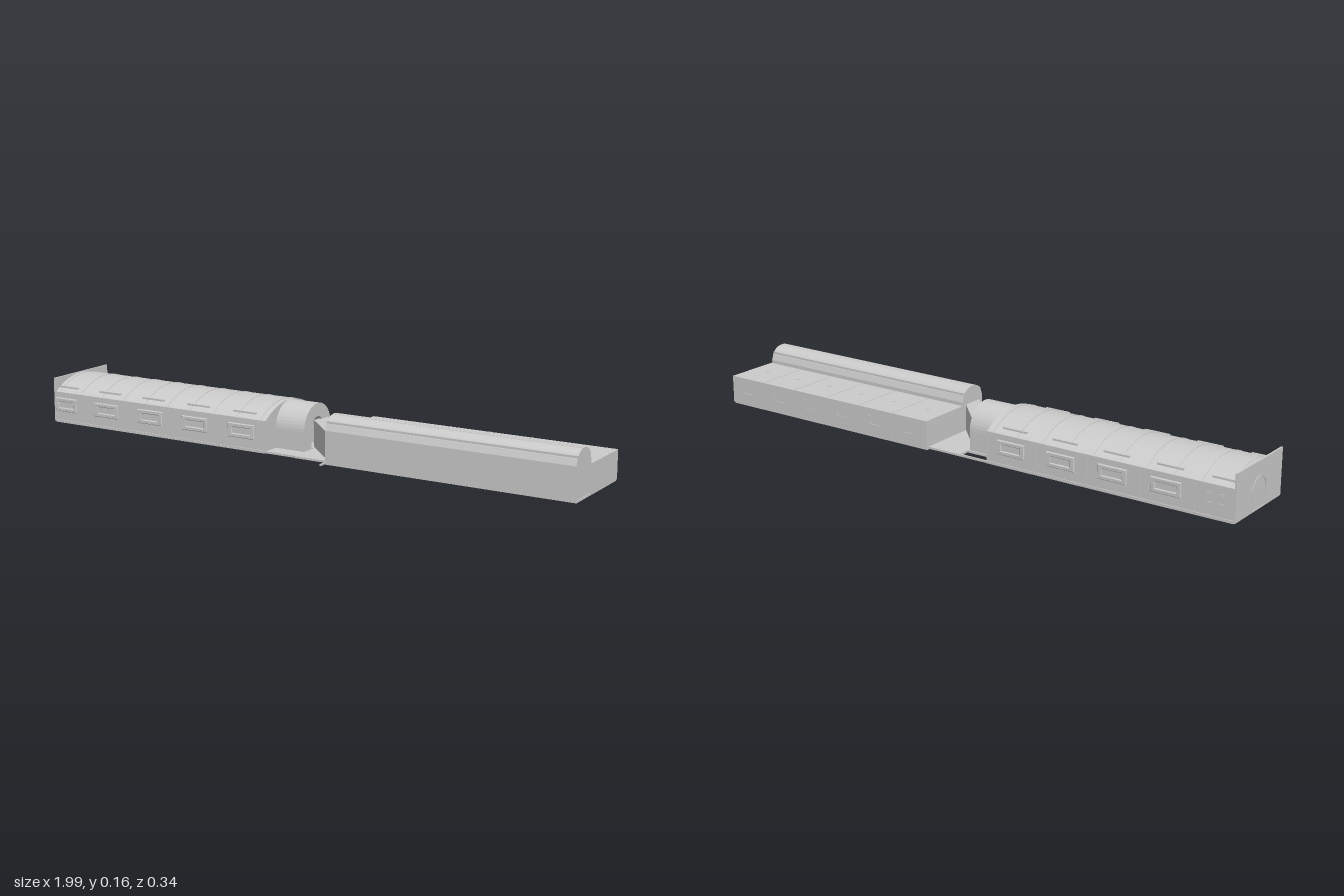
import * as THREE from 'three';

const material = new THREE.MeshStandardMaterial({ color: 0xcccccc, side: THREE.DoubleSide });

function add(parent, geometry, name) {
  const mesh = new THREE.Mesh(geometry, material);
  mesh.name = name;
  parent.add(mesh);
  return mesh;
}

// Box given by its limits on each axis
function box(parent, name, x0, x1, y0, y1, z0, z1) {
  const g = new THREE.BoxGeometry(x1 - x0, y1 - y0, z1 - z0);
  g.translate((x0 + x1) / 2, (y0 + y1) / 2, (z0 + z1) / 2);
  return add(parent, g, name);
}

// Cross-section of (z, y) points swept along x
function sweepX(parent, name, points, x0, x1, holePoints) {
  const toVec = ([z, y]) => new THREE.Vector2(-z, y);
  const shape = new THREE.Shape(points.map(toVec));
  if (holePoints) shape.holes.push(new THREE.Path(holePoints.map(toVec)));
  const g = new THREE.ExtrudeGeometry(shape, { depth: x1 - x0, bevelEnabled: false });
  g.rotateY(Math.PI / 2);
  g.translate(x0, 0, 0);
  return add(parent, g, name);
}

// Points on an arc in the (z, y) plane, from +z over the top to -z
function arc(cz, cy, rz, ry, a0, a1, n) {
  return Array.from({ length: n + 1 }, (_, i) => {
    const a = a0 + ((a1 - a0) * i) / n;
    return [cz + rz * Math.cos(a), cy + ry * Math.sin(a)];
  });
}

// Rectangular window frame with a recessed pane, on a wall facing side (+1 front, -1 back)
function windowUnit(parent, x, z, side, w = 0.1) {
  const unit = new THREE.Group();
  unit.name = 'window';
  const rect = (T, a, b) => {
    const t = new T();
    t.moveTo(-a, -b); t.lineTo(a, -b); t.lineTo(a, b); t.lineTo(-a, b); t.closePath();
    return t;
  };
  const s = rect(THREE.Shape, w / 2, 0.022);
  s.holes.push(rect(THREE.Path, w / 2 - 0.012, 0.013));
  add(unit, new THREE.ExtrudeGeometry(s, {
    depth: 0.005, bevelEnabled: true, bevelSize: 0.002, bevelThickness: 0.002, bevelSegments: 1,
  }), 'windowFrame');
  box(unit, 'windowPane', -w / 2 + 0.01, w / 2 - 0.01, -0.015, 0.015, -0.002, 0.001);
  unit.position.set(x, 0.068, z);
  if (side < 0) unit.rotation.y = Math.PI;
  parent.add(unit);
}

function vaultedHall() {
  const hall = new THREE.Group();
  hall.name = 'vaultedHall';
  const cz = -0.015, R = 0.235, cy = 0.158 - R;
  const half = Math.asin(0.142 / R);
  const up = Math.PI / 2;
  const vault = (r) => arc(cz, cy, r, r, up - half, up + half, 24);

  // Body with barrel roof
  sweepX(hall, 'hallBody', [[-0.157, 0.005], [0.127, 0.005], ...vault(R)], -0.995, -0.11);
  // Roof seams
  for (let i = 0; i < 10; i++) {
    const x = -0.98 + i * 0.094;
    sweepX(hall, 'roofSeam', [...vault(R + 0.0015), ...vault(R - 0.002).reverse()], x, x + 0.003);
  }
  // Flat end wall with an arched door
  box(hall, 'endWall', -1, -0.994, 0.005, 0.16, -0.16, 0.13);
  const door = (r, h) => [[cz + r, 0.008], ...arc(cz, h, r, r, 0, Math.PI, 12), [cz - r, 0.008]];
  sweepX(hall, 'doorFrame', door(0.048, 0.065), -1.002, -0.998, door(0.042, 0.065).map(([z, y]) => [z, y + 0.002]));

  // Wall panels, windows, ribs and eaves on both long sides
  for (const side of [1, -1]) {
    const wall = cz + side * 0.142;
    const strip = (name, x0, x1, y0, y1, a, b) =>
      box(hall, name, x0, x1, y0, y1, Math.min(wall + side * a, wall + side * b), Math.max(wall + side * a, wall + side * b));
    strip('baseRail', -0.995, -0.11, 0.003, 0.012, -0.005, 0.003);
    strip('eave', -0.995, -0.11, 0.104, 0.112, -0.006, 0.003);
    for (let i = 0; i < 5; i++) {
      const edge = -0.11 - i * 0.1875;
      strip('panelRib', edge - 0.004, edge, 0.005, 0.108, -0.005, 0.003);
      if (i < 4) windowUnit(hall, edge - 0.094, wall, side);
      // Gutter sections above each panel
      strip('gutter', Math.max(edge - 0.14, -0.99), edge - 0.05, 0.124, 0.13, -0.025, -0.017);
    }
    if (side > 0) windowUnit(hall, -0.945, wall, side, 0.09);
    else for (const dx of [-0.02, 0.02]) for (const y of [0.05, 0.08])
      box(hall, 'wallVent', -0.93 + dx - 0.008, -0.93 + dx + 0.008, y - 0.005, y + 0.005, wall - 0.003, wall + 0.001);
  }
  return hall;
}

function connector() {
  const link = new THREE.Group();
  link.name = 'connector';
  const cz = -0.017;
  // Arched tunnel
  const arch = (r, cy, y0) => [[cz + r, y0], ...arc(cz, cy, r, r, 0, Math.PI, 24), [cz - r, y0]];
  sweepX(link, 'archedTunnel', arch(0.083, 0.075, 0.005), -0.112, 0, arch(0.038, 0.075, 0.012));
  // Diagonal passage, drawn as a plan and raised
  const plan = new THREE.Shape([[-0.01, 0.09], [-0.01, 0.012], [0.127, -0.125], [0.127, -0.05]]
    .map(([x, y]) => new THREE.Vector2(x, y)));
  const passage = (name, y, h) => {
    const g = new THREE.ExtrudeGeometry(plan, { depth: h, bevelEnabled: false });
    g.rotateX(-Math.PI / 2);
    g.translate(0, y, 0);
    add(link, g, name);
  };
  passage('diagonalPassage', 0.008, 0.092);
  // Floor plates and rails
  box(link, 'connectorFloor', 0, 0.126, 0.003, 0.01, -0.158, 0.128);
  box(link, 'frontFloor', -0.112, 0, 0.003, 0.01, 0.066, 0.125);
  box(link, 'tunnelFloor', -0.112, 0, 0.003, 0.01, -0.1, 0.066);
  box(link, 'rearRail', -0.112, 0, 0.003, 0.01, -0.158, -0.152);
  box(link, 'rearRail', -0.112, 0, 0.003, 0.01, -0.112, -0.106);
  box(link, 'groundBar', 0.123, 0.129, 0.003, 0.008, 0.1, 0.17);
  return link;
}

function lowWing() {
  const wing = new THREE.Group();
  wing.name = 'lowWing';
  const x0 = 0.126, x1 = 0.99, n = 6, pitch = (x1 - x0) / n;
  box(wing, 'wingBody', x0, x1, 0.005, 0.1, -0.168, 0.035);
  box(wing, 'wingBase', x0, x1 - 0.002, 0, 0.007, -0.165, 0.138);
  for (let i = 0; i < n; i++) {
    const x = x0 + i * pitch;
    // Panel joints on the roof and back wall
    if (i) {
      box(wing, 'roofJoint', x - 0.001, x + 0.001, 0.099, 0.1012, -0.168, 0.035);
      box(wing, 'backJoint', x - 0.001, x + 0.001, 0.006, 0.1, -0.1692, -0.167);
    }
    // L-shaped brackets and roof studs
    const m = x + pitch / 2;
    box(wing, 'bracketUpright', m + 0.02, m + 0.024, 0.045, 0.075, -0.1705, -0.167);
    box(wing, 'bracketFoot', m - 0.022, m + 0.024, 0.042, 0.046, -0.1705, -0.167);
    box(wing, 'roofStud', m - 0.004, m + 0.004, 0.099, 0.102, -0.07, -0.062);
  }
  return wing;
}

function corridor() {
  const hallway = new THREE.Group();
  hallway.name = 'corridor';
  const x0 = 0.126, x1 = 0.985, cz = 0.085;
  // Walls with tapered shoulders
  sweepX(hallway, 'corridorBody', [
    [0.03, 0.005], [0.141, 0.005], [0.141, 0.112], [0.133, 0.133], [0.128, 0.136],
    [0.042, 0.136], [0.037, 0.133], [0.03, 0.112],
  ], x0, x1);
  // Domed roof strip and its ridge
  sweepX(hallway, 'corridorRoof', arc(cz, 0.13, 0.046, 0.028, 0, Math.PI, 20), x0, x1);
  box(hallway, 'roofRidge', x0, x1, 0.15, 0.158, cz - 0.003, cz + 0.009);
  for (const s of [-1, 1]) {
    const z = cz + s * 0.044;
    box(hallway, 'roofRail', x0, x1, 0.134, 0.141, z - 0.003, z + 0.003);
  }
  // Corner trims on the end wall
  for (const z of [0.032, 0.13])
    box(hallway, 'endTrim', x1 - 0.002, x1 + 0.003, 0.008, 0.1, z, z + 0.006);
  return hallway;
}

export function createModel() {
  const model = new THREE.Group();
  model.name = 'buildingComplex';
  model.add(vaultedHall(), connector(), lowWing(), corridor());
  return model;
}
